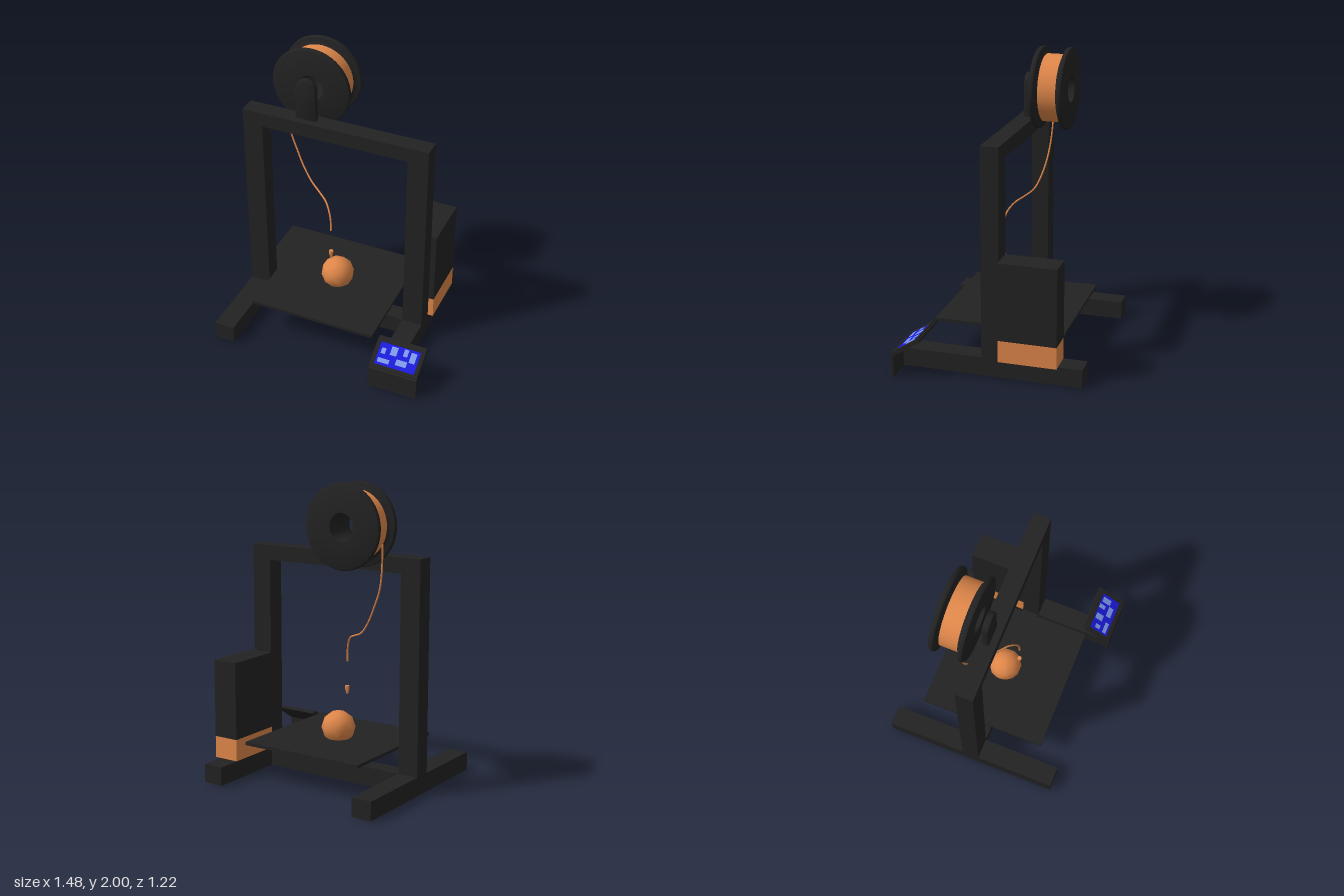
import * as THREE from 'three';
import { toCreasedNormals } from 'three/addons/utils/BufferGeometryUtils.js';

const material = (name, color) => {
  const m = new THREE.MeshStandardMaterial({ color });
  m.name = name;
  return m;
};

export function createModel() {
  const black = material('black', 0x222222);
  const orange = material('orange', 0xe0874a);
  const blue = material('screen blue', 0x1a1ad8);
  const paleBlue = material('screen pale blue', 0x7f9cf0);

  const model = new THREE.Group();
  model.name = 'printer';

  const add = (name, geometry, mat, parent = model) => {
    const mesh = new THREE.Mesh(geometry, mat);
    mesh.name = name;
    parent.add(mesh);
    return mesh;
  };
  // Box given by its limits on each axis
  const box = (name, mat, [x0, x1], [y0, y1], [z0, z1], parent = model) => {
    const g = new THREE.BoxGeometry(x1 - x0, y1 - y0, z1 - z0);
    g.translate((x0 + x1) / 2, (y0 + y1) / 2, (z0 + z1) / 2);
    return add(name, g, mat, parent);
  };

  // Upright frame and feet
  const frameZ = [-0.065, 0.055];
  for (const [side, x0, x1] of [['right', -0.74, -0.6], ['left', 0.42, 0.56]]) {
    box(side + 'Foot', black, [x0, x1], [0.005, 0.13], [-0.613, 0.602]);
    box(side + 'Post', black, [x0, x1], [0.13, 1.535], frameZ);
  }
  box('topBeam', black, [-0.6, 0.42], [1.435, 1.535], frameZ);
  box('bottomBeam', black, [-0.6, 0.42], [0.005, 0.13], frameZ);

  // Print bed and power supply
  box('bed', black, [-0.53, 0.353], [0.253, 0.274], [-0.443, 0.443]);
  box('powerSupplyBase', orange, [0.42, 0.597], [0.13, 0.277], [-0.453, -0.065]);
  box('powerSupply', black, [0.42, 0.597], [0.277, 0.8], [-0.453, -0.065]);

  // Spool holder: upright tab with a round top
  const tab = new THREE.Shape();
  tab.moveTo(-0.072, 1.53);
  tab.lineTo(0.072, 1.53);
  tab.absarc(0, 1.752, 0.072, 0, Math.PI, false);
  tab.closePath();
  const tabGeometry = new THREE.ExtrudeGeometry(tab, {
    depth: 0.026, bevelThickness: 0.008, bevelSize: 0.006, bevelOffset: -0.006, bevelSegments: 2, curveSegments: 16,
  });
  tabGeometry.translate(-0.307, 0, -0.025);
  add('spoolHolder', toCreasedNormals(tabGeometry, 0.6), black);

  // Spool: flanged body with a through hole, wound with filament
  const spool = new THREE.Group();
  spool.name = 'spool';
  spool.position.set(-0.307, 1.727, -0.185);
  spool.rotation.x = Math.PI / 2;
  model.add(spool);
  const half = [[0.088, 0.112], [0.262, 0.112], [0.27, 0.107], [0.273, 0.1],
    [0.273, 0.086], [0.268, 0.078], [0.25, 0.074], [0.235, 0.069], [0.222, 0.058], [0.2, 0.056]];
  const profile = [
    ...half.map(([r, y]) => new THREE.Vector2(r, -y)),
    ...half.slice().reverse().map(([r, y]) => new THREE.Vector2(r, y)),
    new THREE.Vector2(half[0][0], -half[0][1]),
  ];
  add('spoolBody', toCreasedNormals(new THREE.LatheGeometry(profile, 48), 0.6), black, spool);
  add('woundFilament', new THREE.CylinderGeometry(0.225, 0.225, 0.14, 48, 1, true), orange, spool);

  // Loose filament running down to the print
  const path = new THREE.CatmullRomCurve3([
    [-0.505, 1.62, -0.13], [-0.495, 1.43, -0.122], [-0.475, 1.32, -0.115], [-0.43, 1.21, -0.104],
    [-0.37, 1.1, -0.08], [-0.3, 1.02, -0.048], [-0.22, 0.985, 0], [-0.15, 0.955, 0.048],
    [-0.11, 0.905, 0.085], [-0.093, 0.85, 0.101], [-0.09, 0.775, 0.105],
  ].map((p) => new THREE.Vector3(...p)));
  add('filament', new THREE.TubeGeometry(path, 60, 0.006, 8), orange);
  const tip = new THREE.CircleGeometry(0.006, 8);
  tip.rotateX(Math.PI / 2);
  tip.translate(-0.09, 0.775, 0.105);
  add('filamentTip', tip, orange);

  // Falling drop
  const drop = new THREE.LatheGeometry(
    [[0, -0.032], [0.008, -0.028], [0.015, 0.005], [0.015, 0.026], [0, 0.028]].map((p) => new THREE.Vector2(...p)), 8);
  drop.translate(-0.09, 0.581, 0.105);
  add('drop', toCreasedNormals(drop, 0.5), orange);

  // Faceted printed ball, turned to put a corner at the top
  const ball = new THREE.IcosahedronGeometry(0.114, 1);
  ball.rotateX(-1.0172);
  ball.translate(-0.09, 0.347, 0);
  add('printedBall', ball, orange);

  // Control panel: thin bent shell, profile drawn as (z, y)
  const bend = new THREE.Shape(
    [[0.61, 0], [0.61, 0.155], [0.415, 0.28], [0.405, 0.264], [0.592, 0.145], [0.592, 0]]
      .map((p) => new THREE.Vector2(...p)));
  const shell = new THREE.ExtrudeGeometry(bend, { depth: 0.335, bevelEnabled: false });
  shell.rotateY(-Math.PI / 2);
  shell.translate(0.737, 0, 0);
  add('controlPanel', shell, black);

  // Screen lying on the sloped face, in its own tilted frame
  const screen = new THREE.Group();
  screen.name = 'screen';
  screen.position.set(0.5685, 0.2168, 0.5135);
  screen.rotation.x = -1.0007;
  model.add(screen);
  const w = 0.14, h = 0.077;
  box('screenPlate', blue, [-w, w], [-h, h], [0, 0.004], screen);
  for (const s of [-1, 1]) {
    box('screenRimSide', black, [s * 0.154 - 0.0135, s * 0.154 + 0.0135], [-0.1, 0.1], [0, 0.008], screen);
    box('screenRimEdge', black, [-0.1675, 0.1675], [s * 0.0885 - 0.0115, s * 0.0885 + 0.0115], [0, 0.008], screen);
  }
  // Pale areas on the display: x, y, width, height
  const patches = [[-0.085, -0.045, 0.08, 0.03], [-0.035, 0.035, 0.045, 0.06], [0.045, 0.045, 0.03, 0.05],
    [0.035, -0.03, 0.075, 0.04], [0.1, 0.025, 0.04, 0.07], [-0.105, 0.02, 0.03, 0.04]];
  for (const [x, y, pw, ph] of patches) {
    box('screenPatch', paleBlue, [x - pw / 2, x + pw / 2], [y - ph / 2, y + ph / 2], [0.004, 0.006], screen);
  }

  return model;
}
